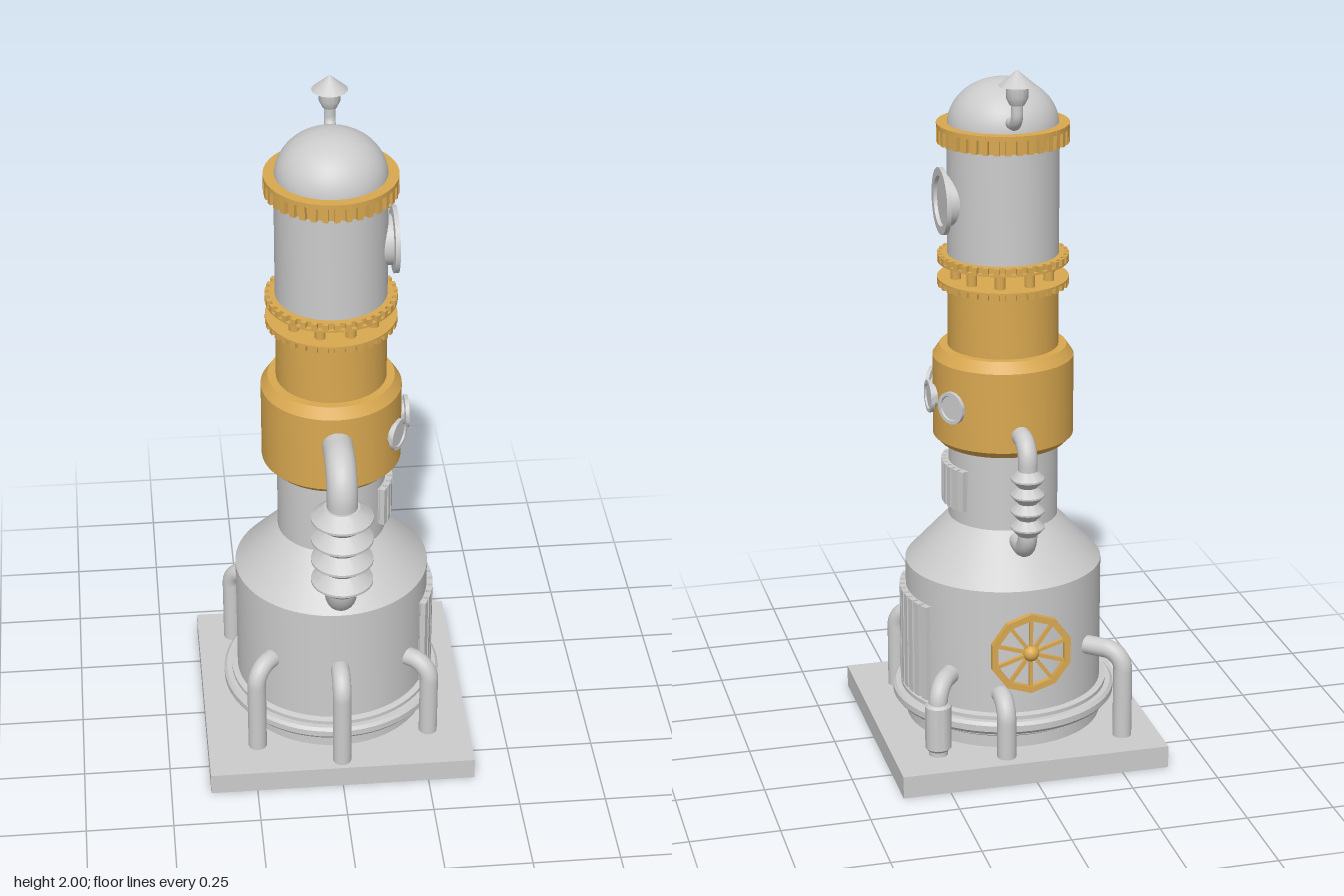
import * as THREE from 'three';
import { toCreasedNormals } from 'three/addons/utils/BufferGeometryUtils.js';

const grey = new THREE.MeshStandardMaterial({ color: 0xcccccc });
const gold = new THREE.MeshStandardMaterial({ color: 0xd9a850 });
const V = (x, y, z) => new THREE.Vector3(x, y, z);

export function createModel() {
  const model = new THREE.Group();
  model.name = 'boilerTower';
  const tower = new THREE.Group();
  tower.name = 'tower';
  tower.position.z = -0.015;
  model.add(tower);

  const add = (name, geometry, material = grey, parent = tower) => {
    const mesh = new THREE.Mesh(geometry, material);
    mesh.name = name;
    parent.add(mesh);
    return mesh;
  };
  const group = (name, parent = tower) => {
    const g = new THREE.Group();
    g.name = name;
    parent.add(g);
    return g;
  };
  // Turned part: profile of [radius, height], listed bottom to top
  const lathe = (points, segments = 64) => toCreasedNormals(
    new THREE.LatheGeometry(points.map(([r, y]) => new THREE.Vector2(r, y)), segments), 0.5);

  // Pipe through points with rounded corners
  const pipe = (name, pts, radius, bend, parent = tower) => {
    const path = new THREE.CurvePath();
    let from = pts[0];
    for (let i = 1; i < pts.length - 1; i++) {
      const a = pts[i].clone().add(pts[i - 1].clone().sub(pts[i]).setLength(bend));
      const b = pts[i].clone().add(pts[i + 1].clone().sub(pts[i]).setLength(bend));
      const ca = pts[i].clone().lerp(a, 0.45), cb = pts[i].clone().lerp(b, 0.45);
      path.add(new THREE.LineCurve3(from, a));
      path.add(new THREE.CubicBezierCurve3(a, ca, cb, b));
      from = b;
    }
    path.add(new THREE.LineCurve3(from, pts[pts.length - 1]));
    return add(name, new THREE.TubeGeometry(path, 48, radius, 20), grey, parent);
  };

  // Base plate and lower boiler
  add('basePlate', new THREE.BoxGeometry(0.77, 0.065, 0.77)).position.y = 0.0325;
  add('boiler', lathe([[0.28, 0.06], [0.28, 0.54], [0.155, 0.675], [0.155, 0.92]]));
  add('boilerRing', lathe([[0.28, 0.1], [0.297, 0.11], [0.297, 0.12], [0.312, 0.12], [0.32, 0.13],
    [0.32, 0.148], [0.312, 0.157], [0.297, 0.157], [0.297, 0.168], [0.28, 0.172]]));

  // Gold collar and the sleeve above it
  add('collar', lathe([[0.15, 0.9], [0.178, 0.9], [0.198, 0.92], [0.198, 1.15],
    [0.178, 1.18], [0.155, 1.18], [0.155, 1.36]]), gold);

  // Upper tank and dome
  add('upperTank', lathe([[0, 1.44], [0.155, 1.44], [0.155, 1.78]]));
  const dome = [];
  for (let i = 0; i <= 16; i++) {
    const a = (i / 16) * Math.PI / 2;
    dome.push([0.154 * Math.cos(a), 1.8 + 0.135 * Math.sin(a) ** 0.95]);
  }
  add('dome', lathe(dome));

  // Toothed flanges: core ring, lip and teeth
  const flange = (name, y0, y1, lipAtTop) => {
    const g = group(name);
    const lip = (y1 - y0) * 0.25;
    const ly = lipAtTop ? y1 - lip : y0;
    add('flangeCore', lathe([[0, y0], [0.171, y0], [0.171, y1], [0, y1]]), gold, g);
    add('flangeLip', lathe([[0, ly], [0.183, ly], [0.183, ly + lip], [0, ly + lip]]), gold, g);
    const tooth = new THREE.BoxGeometry(0.018, y1 - y0, 0.016);
    for (let i = 0; i < 36; i++) {
      const a = (i / 36) * Math.PI * 2;
      const t = add('flangeTooth', tooth, gold, g);
      t.position.set(0.174 * Math.sin(a), (y0 + y1) / 2, 0.174 * Math.cos(a));
      t.rotation.y = a + Math.PI / 2;
    }
  };
  flange('lowerFlange', 1.355, 1.377, true);
  flange('middleFlange', 1.423, 1.445, false);
  flange('topFlange', 1.76, 1.813, true);

  // Posts in the open gap between the flanges
  const posts = group('gapPosts');
  for (let i = 0; i < 10; i++) {
    const a = (i / 10) * Math.PI * 2;
    add('gapPost', new THREE.CylinderGeometry(0.015, 0.015, 0.05, 12), gold, posts)
      .position.set(0.135 * Math.cos(a), 1.4, 0.135 * Math.sin(a));
  }

  // Portholes: turned parts whose axis points outwards
  const porthole = (name, profile, y, angle) => {
    const holder = group(name);
    holder.position.y = y;
    holder.rotation.y = angle;
    add('portholeBody', lathe(profile, 40), grey, holder).rotation.z = -Math.PI / 2;
  };
  porthole('largePorthole', [[0.07, 0.12], [0.07, 0.165], [0.093, 0.167], [0.093, 0.18],
    [0.07, 0.18], [0.068, 0.17], [0, 0.17]], 1.6, 0);
  for (const a of [-0.58, 0, 0.58]) {
    porthole('smallPorthole', [[0.032, 0.16], [0.032, 0.205], [0.046, 0.207], [0.046, 0.218],
      [0.036, 0.218], [0.034, 0.213], [0, 0.213]], 1.04, a);
  }

  // Slatted grilles that follow the curved wall
  const grille = (name, radius, y0, y1, halfWidth, count) => {
    const g = group(name);
    const span = Math.asin(halfWidth / radius);
    const wall = new THREE.CylinderGeometry(radius, radius, y1 - y0, 24, 1, false,
      Math.PI / 2 - span, span * 2);
    add('grilleBack', wall, grey, g).position.y = (y0 + y1) / 2;
    for (let i = 0; i < count; i++) {
      const a = -span + ((i + 0.5) / count) * span * 2;
      const w = (span * 2 * radius / count) * 0.72;
      const slat = add('grilleSlat', new THREE.BoxGeometry(0.03, y1 - y0, w), grey, g);
      slat.position.set(radius * Math.cos(a), (y0 + y1) / 2, -radius * Math.sin(a));
      slat.rotation.y = a;
    }
  };
  grille('boilerGrille', 0.283, 0.175, 0.46, 0.14, 9);
  grille('neckGrille', 0.16, 0.72, 0.84, 0.097, 8);

  // Side pipes with bellows, at the front and the back
  const bellowsPipe = (name, z, sign, yTop, yBottom, r, bend, by0, by1, inner, outer) => {
    const g = group(name);
    pipe('bellowsPipe', [V(0, yTop, sign * 0.12), V(0, yTop, z), V(0, yBottom, z),
      V(0, yBottom, sign * 0.17)], r, bend, g);
    const step = (by1 - by0) / 4;
    const profile = [[r * 0.9, by0]];
    for (let i = 0; i < 4; i++) {
      profile.push([inner, by0 + i * step], [outer, by0 + (i + 0.45) * step],
        [outer, by0 + (i + 0.55) * step]);
    }
    profile.push([inner, by1], [r * 0.9, by1]);
    add('bellows', lathe(profile, 32), grey, g).position.z = z;
  };
  bellowsPipe('frontBellows', 0.332, 1, 1.065, 0.605, 0.043, 0.09, 0.675, 0.955, 0.05, 0.087);
  bellowsPipe('backBellows', -0.27, -1, 0.97, 0.65, 0.027, 0.055, 0.705, 0.895, 0.027, 0.047);

  // Pipes rising from the base plate and bending into the boiler
  const floorPipe = (x, z, top, inX, inZ) => pipe('floorPipe',
    [V(x, 0.05, z), V(x, top - 0.027, z), V(inX, top - 0.027, inZ)], 0.027, 0.055);
  floorPipe(0, 0.345, 0.375, 0, 0.25);
  floorPipe(0.265, 0.23, 0.335, 0.18, 0.165);
  floorPipe(-0.24, 0.255, 0.37, -0.17, 0.18);
  floorPipe(-0.28, -0.275, 0.35, -0.17, -0.18);
  floorPipe(0.257, -0.265, 0.3, 0.18, -0.16);
  floorPipe(0.075, -0.33, 0.255, 0.075, -0.22);
  add('canister', lathe([[0, 0.08], [0.03, 0.08], [0.037, 0.088], [0.037, 0.215], [0.03, 0.222], [0, 0.222]], 32))
    .position.set(0.257, 0, -0.265);

  // Valve wheel on the back
  const wheel = group('valveWheel');
  wheel.position.set(0, 0.365, -0.31);
  const polygon = (r, shape) => {
    for (let i = 0; i < 10; i++) {
      const a = ((i + 0.5) / 10) * Math.PI * 2;
      shape[i ? 'lineTo' : 'moveTo'](r * Math.cos(a), r * Math.sin(a));
    }
    shape.closePath();
    return shape;
  };
  const rimShape = polygon(0.119, new THREE.Shape());
  rimShape.holes.push(polygon(0.1, new THREE.Path()));
  add('wheelRim', new THREE.ExtrudeGeometry(rimShape, { depth: 0.016, bevelEnabled: false }), gold, wheel)
    .position.z = -0.008;
  for (let i = 0; i < 10; i++) {
    const a = ((i + 0.5) / 10) * Math.PI * 2;
    const spoke = add('wheelSpoke', new THREE.BoxGeometry(0.1, 0.01, 0.01), gold, wheel);
    spoke.position.set(0.058 * Math.cos(a), 0.058 * Math.sin(a), 0);
    spoke.rotation.z = a;
  }
  add('wheelHub', new THREE.SphereGeometry(0.023, 20, 14), gold, wheel);
  add('wheelAxle', new THREE.CylinderGeometry(0.012, 0.012, 0.06, 16), gold, wheel)
    .rotation.x = Math.PI / 2;
  wheel.children[wheel.children.length - 1].position.z = 0.03;

  // Small chimney beside the dome
  const chimney = group('chimney');
  pipe('chimneyPipe', [V(0.015, 1.84, -0.12), V(0.015, 1.845, -0.205), V(0.015, 1.93, -0.205)],
    0.016, 0.035, chimney);
  add('chimneyCap', lathe([[0, 1.905], [0.02, 1.905], [0.03, 1.925], [0.03, 1.955],
    [0.05, 1.957], [0, 2]], 32), grey, chimney).position.set(0.015, 0, -0.205);

  return model;
}
